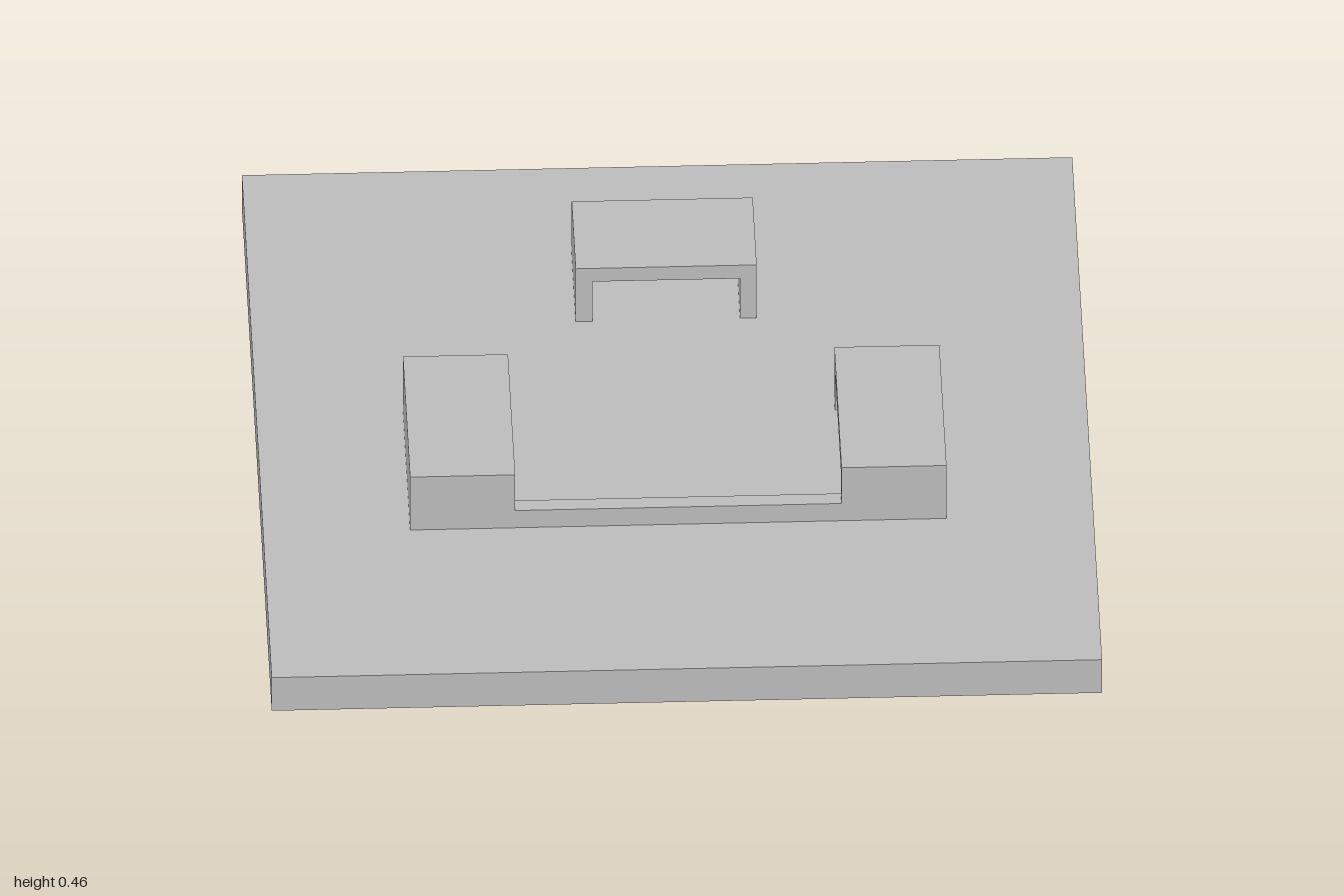
import * as THREE from 'three';

const grey = new THREE.MeshStandardMaterial({ color: 0xbfbfbf });
grey.name = 'plainGrey';

const WALL = 0.04, BACK = 0.095, HEIGHT = 0.16, PLATE_TOP = 0.3;

function add(parent, name, geometry, x, y, z) {
  const mesh = new THREE.Mesh(geometry, grey);
  mesh.name = name;
  mesh.position.set(x, y, z);
  parent.add(mesh);
  return mesh;
}

// Hollow retaining block: an arch open towards local +z, closed by a thick back wall
function holder(name, width, depth) {
  const group = new THREE.Group();
  group.name = name;
  const w = width / 2, i = w - WALL, top = HEIGHT - WALL;
  const arch = new THREE.Shape([
    [-w, 0], [-i, 0], [-i, top], [i, top], [i, 0], [w, 0], [w, HEIGHT], [-w, HEIGHT],
  ].map(([x, y]) => new THREE.Vector2(x, y)));
  const hood = new THREE.ExtrudeGeometry(arch, { depth: depth - BACK, bevelEnabled: false });
  add(group, name + 'Hood', hood, 0, 0, BACK);
  add(group, name + 'BackWall', new THREE.BoxGeometry(width, HEIGHT, BACK), 0, HEIGHT / 2, BACK / 2);
  return group;
}

export function createModel() {
  const model = new THREE.Group();
  model.name = 'mountingPlate';

  // Square plate and the round boss below it
  add(model, 'plate', new THREE.BoxGeometry(2, 0.1, 2), 0, 0.25, 0);
  add(model, 'boss', new THREE.CylinderGeometry(0.59, 0.59, 0.2, 96), 0, 0.1, 0);

  // Four locating pegs under the corners
  const peg = new THREE.CylinderGeometry(0.049, 0.049, 0.055, 32);
  for (const x of [-0.64, 0.64]) {
    for (const z of [-0.64, 0.64]) add(model, 'peg', peg, x, 0.1725, z);
  }

  // Two side holders facing each other
  for (const side of [-1, 1]) {
    const block = holder(side < 0 ? 'rightHolder' : 'leftHolder', 0.48, 0.253);
    block.position.set(side * 0.646, PLATE_TOP, 0.185);
    block.rotation.y = -side * Math.PI / 2;
    model.add(block);
  }

  // Rear holder facing the front
  const rear = holder('rearHolder', 0.436, 0.268);
  rear.position.set(0, PLATE_TOP, -0.657);
  model.add(rear);

  // Low rail joining the side holders
  add(model, 'frontRail', new THREE.BoxGeometry(0.786, 0.052, WALL), 0, PLATE_TOP + 0.026, 0.405);

  return model;
}
